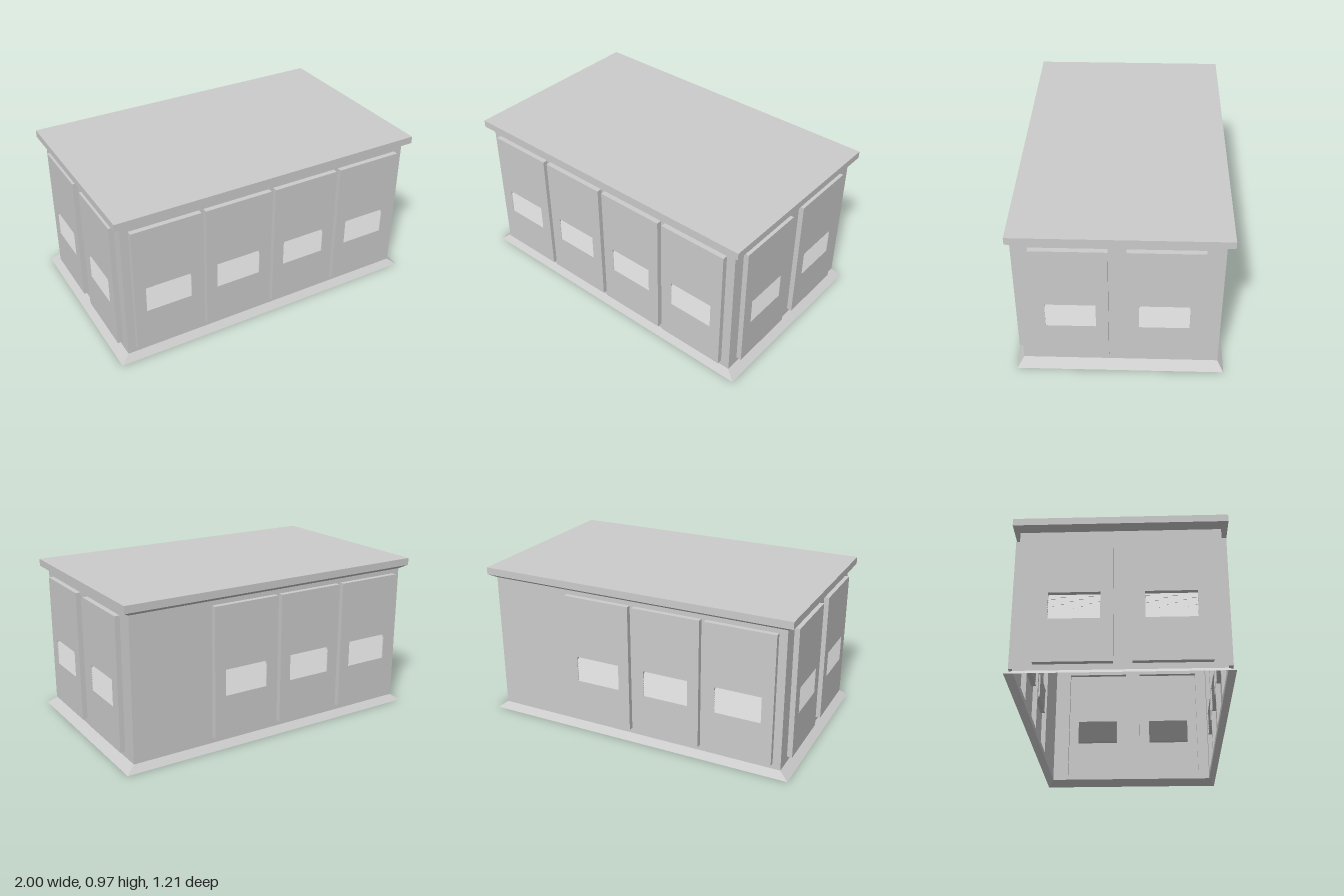
import * as THREE from 'three';

const grey = new THREE.MeshStandardMaterial({ color: 0xcccccc, flatShading: true, side: THREE.DoubleSide });
const BODY_X = 0.944, BODY_Z = 0.566, WALL_BOTTOM = 0.04, WALL_TOP = 0.9;
const DOOR = { w: 0.425, bottom: 0.075, top: 0.873, depth: 0.031 };
const VENT = { w: 0.284, bottom: 0.33, top: 0.49, slats: 10, slatHeight: 0.03, slatDepth: 0.028 };

function mesh(geometry, name) {
  const m = new THREE.Mesh(geometry, grey);
  m.name = name;
  return m;
}

// Skin through rectangular rings [halfX, halfZ, y], open at both ends
function rectLoft(rings) {
  const corners = [[-1, 1], [1, 1], [1, -1], [-1, -1]];
  const pos = [];
  const point = ([hx, hz, y], k) => [corners[k % 4][0] * hx, y, corners[k % 4][1] * hz];
  for (let i = 0; i < rings.length - 1; i++) {
    for (let k = 0; k < 4; k++) {
      const a = point(rings[i], k), b = point(rings[i], k + 1);
      const c = point(rings[i + 1], k + 1), d = point(rings[i + 1], k);
      pos.push(...a, ...b, ...c, ...a, ...c, ...d);
    }
  }
  const g = new THREE.BufferGeometry();
  g.setAttribute('position', new THREE.Float32BufferAttribute(pos, 3));
  g.computeVertexNormals();
  return g;
}

function rectPath(path, cx, w, y0, y1) {
  const x0 = cx - w / 2, x1 = cx + w / 2;
  path.moveTo(x0, y0);
  path.lineTo(x1, y0);
  path.lineTo(x1, y1);
  path.lineTo(x0, y1);
  path.closePath();
  return path;
}

// Hollow raised door with a louvred vent; z = 0 is the wall plane
function makeDoor() {
  const door = new THREE.Group();
  door.name = 'door';
  const panel = rectPath(new THREE.Shape(), 0, DOOR.w, DOOR.bottom, DOOR.top);
  panel.holes.push(rectPath(new THREE.Path(), 0, VENT.w, VENT.bottom, VENT.top));
  const face = mesh(new THREE.ShapeGeometry(panel), 'doorPanel');
  face.position.z = DOOR.depth;
  door.add(face);

  // Rims of the door and of the vent opening
  for (const [w, y0, y1, name] of [
    [DOOR.w, DOOR.bottom, DOOR.top, 'doorRim'],
    [VENT.w, VENT.bottom, VENT.top, 'ventRim'],
  ]) {
    const h = (y1 - y0) / 2;
    const rim = mesh(rectLoft([[w / 2, h, 0], [w / 2, h, DOOR.depth]]).rotateX(Math.PI / 2), name);
    rim.position.y = (y0 + y1) / 2;
    door.add(rim);
  }

  // Overlapping slats, leaning outwards at the bottom
  const length = Math.hypot(VENT.slatHeight, VENT.slatDepth);
  const slatGeometry = new THREE.PlaneGeometry(VENT.w, length)
    .rotateX(-Math.atan2(VENT.slatDepth, VENT.slatHeight));
  const step = (VENT.top - VENT.bottom - VENT.slatHeight) / (VENT.slats - 1);
  for (let i = 0; i < VENT.slats; i++) {
    const slat = mesh(slatGeometry, 'ventSlat');
    slat.position.set(0, VENT.bottom + VENT.slatHeight / 2 + i * step, DOOR.depth - VENT.slatDepth / 2);
    door.add(slat);
  }
  return door;
}

// Wall with openings behind its doors
function makeWall(name, halfWidth, distance, angle, doorCentres) {
  const wall = new THREE.Group();
  wall.name = name;
  const shape = rectPath(new THREE.Shape(), 0, halfWidth * 2, WALL_BOTTOM, WALL_TOP);
  for (const x of doorCentres) {
    shape.holes.push(rectPath(new THREE.Path(), x, DOOR.w, DOOR.bottom, DOOR.top));
    const door = makeDoor();
    door.position.x = x;
    wall.add(door);
  }
  wall.add(mesh(new THREE.ShapeGeometry(shape), 'wallPanel'));
  wall.rotation.y = angle;
  wall.position.set(Math.sin(angle) * distance, 0, Math.cos(angle) * distance);
  return wall;
}

export function createModel() {
  const model = new THREE.Group();
  model.name = 'equipmentCabin';

  // Walls: four doors in front, three behind, two at each end
  const row = [-0.683, -0.23, 0.223, 0.677];
  model.add(makeWall('frontWall', BODY_X, BODY_Z, 0, row));
  model.add(makeWall('backWall', BODY_X, BODY_Z, Math.PI, row.slice(0, 3).map((x) => -x)));
  model.add(makeWall('leftWall', BODY_Z, BODY_X, Math.PI / 2, [-0.278, 0.248]));
  model.add(makeWall('rightWall', BODY_Z, BODY_X, -Math.PI / 2, [-0.248, 0.278]));

  // Sloping plinth skirt, open underneath
  model.add(mesh(rectLoft([[1, 0.601, 0], [BODY_X, BODY_Z, WALL_BOTTOM]]), 'plinth'));

  // Overhanging roof with a bevelled eave
  const roofX = 0.986, roofZ = 0.606, roofY = 0.968;
  model.add(mesh(rectLoft([
    [BODY_X, BODY_Z, WALL_TOP], [roofX, roofZ, 0.924], [roofX, roofZ, roofY],
  ]), 'roofEdge'));
  const top = mesh(new THREE.PlaneGeometry(roofX * 2, roofZ * 2).rotateX(-Math.PI / 2), 'roofTop');
  top.position.y = roofY;
  model.add(top);

  return model;
}
